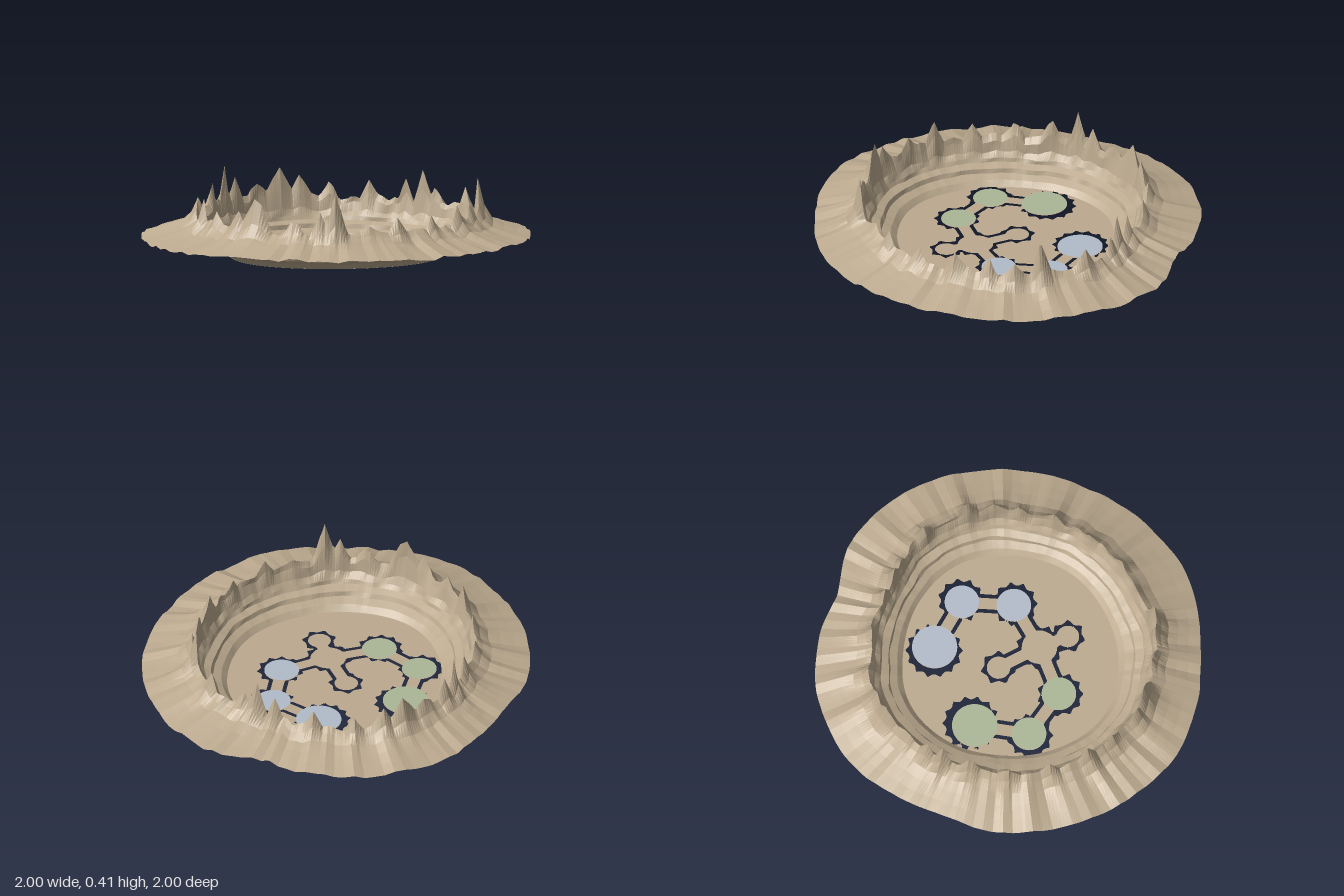
import * as THREE from 'three';

const rock = new THREE.MeshStandardMaterial({ color: 0xbcaa8f, flatShading: true, side: THREE.DoubleSide });
rock.name = 'tan rock';
const green = new THREE.MeshStandardMaterial({ color: 0xabb797, side: THREE.DoubleSide });
green.name = 'sage green';
const blue = new THREE.MeshStandardMaterial({ color: 0xb2bbc9, side: THREE.DoubleSide });
blue.name = 'slate blue';

const lerp = THREE.MathUtils.lerp;
const hash = (i, seed) => {
  const s = Math.sin(i * 127.1 + seed * 311.7) * 43758.5453;
  return s - Math.floor(s);
};
// Periodic noise around the ring, a in turns (0..1)
function noise(a, cells, seed) {
  const x = a * cells, i = Math.floor(x);
  return lerp(hash(i % cells, seed), hash((i + 1) % cells, seed), x - i);
}
// Smooth closed outline from evenly spaced radii
function ringRadius(table, a) {
  const n = table.length, x = a * n, i = Math.floor(x), f = x - i;
  const p = k => table[(i + k + n) % n];
  return p(0) + 0.5 * f * (p(1) - p(-1) + f * (2 * p(-1) - 5 * p(0) + 4 * p(1) - p(2)
    + f * (3 * (p(0) - p(1)) + p(2) - p(-1))));
}

// Angles run from +x towards +z
const OUTER = [1, .99, .98, .97, .975, .985, 1, .985, .985, 1.01, 1.025, 1.01,
  1, .985, .975, .95, .965, .995, 1, .99, .96, .92, .985, 1];
const CREST = [.73, .72, .715, .72, .755, .755, .715, .685, .71, .725, .685, .69];
const FLOOR = [.56, .55, .555, .55, .565, .58, .55, .53, .545, .555, .53, .54];

// Crest spikes: angle in degrees, height, half width in degrees
const SPIKES = [[9.6, .18, 4.5], [20, .06, 4], [30, .09, 4], [45, .1, 5], [62, .07, 4], [80, .06, 4],
  [106, .21, 4.5], [112, .1, 4], [122, .07, 4], [139, .15, 8], [146, .1, 5], [160, .09, 4], [172, .1, 4],
  [188, .08, 4], [205, .08, 5], [222, .1, 5], [233, .2, 4], [240, .1, 4], [252, .08, 5], [263, .14, 7],
  [271, .1, 5], [283, .07, 4], [300, .05, 4], [318, .09, 4], [327, .17, 5], [333, .1, 4], [350, .08, 4]];
function spikeHeight(a) {
  let h = 0;
  for (const [deg, height, width] of SPIKES) {
    const d = Math.abs(((a * 360 - deg + 540) % 360) - 180);
    h = Math.max(h, height * Math.max(0, 1 - d / width));
  }
  return h;
}

// Rows from rim to floor: place (0 floor edge, 1 crest, 2 outer edge), height, spike share, roughness
const ROWS = [[2, .098, 0, .7], [1.75, .115, 0, .8], [1.5, .133, .03, .9], [1.28, .15, .1, 1],
  [1.12, .17, .38, 1], [1, .185, 1, 1], [.93, .165, .6, .8], [.84, .125, .15, .6], [.72, .105, 0, .5],
  [.66, .085, 0, .4], [.44, .07, 0, .35], [.39, .047, 0, .3], [.16, .03, 0, .2], [0, .003, 0, 0]];

function craterWall() {
  const N = 360, pos = [], idx = [];
  ROWS.forEach(([k, y, share, rough], row) => {
    for (let j = 0; j < N; j++) {
      const a = j / N, t = a * Math.PI * 2;
      const floor = ringRadius(FLOOR, a), outer = ringRadius(OUTER, a);
      const crest = ringRadius(CREST, a) + .03 * (noise(a, 40, 3) - .5);
      let r = k <= 1 ? lerp(floor, crest, k) : lerp(crest, outer, k - 1);
      r += rough * .025 * (noise(a, 70, k < 1 ? row : 9) - .5) * (k === 2 ? .4 : 1);
      // Radial streaks share one noise so the ridges run down the slope
      const streak = noise(a, 120, 5) * .6 + noise(a, 45, 6) * .4 - .5;
      const jag = spikeHeight(a) + .05 * noise(a, 90, 7);
      const h = y + rough * .045 * streak * (k < .8 ? .4 : 1) + share * jag;
      pos.push(r * Math.cos(t), h, r * Math.sin(t));
      if (row) {
        const j2 = (j + 1) % N, o = (row - 1) * N, i = row * N;
        idx.push(o + j, i + j, o + j2, o + j2, i + j, i + j2);
      }
    }
  });
  const g = new THREE.BufferGeometry();
  g.setAttribute('position', new THREE.Float32BufferAttribute(pos, 3));
  g.setIndex(idx);
  g.computeVertexNormals();
  return g;
}

// Pads: x, z, radius, shift of the surrounding gap in x and z, colour
const PADS = [
  [-.26, -.31, .115, .02, -.01, green], [-.42, -.08, .088, -.01, 0, green], [-.29, .15, .088, -.005, .005, green],
  [.21, -.31, .115, -.015, -.01, blue], [.37, -.08, .088, .01, 0, blue], [.24, .15, .088, .005, .005, blue],
  [-.03, -.065, .06, 0, 0, null], [-.02, .17, .09, 0, 0, null], [-.03, .325, .058, 0, 0, null]];
// Walkways joining the pads
const LINKS = [[0, 1], [1, 2], [2, 7], [3, 4], [4, 5], [5, 7], [6, 7], [7, 8]];

function segmentDistance(x, z, [ax, az], [bx, bz]) {
  const dx = bx - ax, dz = bz - az;
  const t = THREE.MathUtils.clamp(((x - ax) * dx + (z - az) * dz) / (dx * dx + dz * dz), 0, 1);
  return Math.hypot(x - ax - t * dx, z - az - t * dz);
}
// Negative where the floor is solid, positive inside the notched gap
function gapField(x, z) {
  let inner = 9, outer = 9;
  for (const [px, pz, r, sx, sz] of PADS) {
    inner = Math.min(inner, Math.hypot(x - px, z - pz) - r);
    const ox = x - px - sx, oz = z - pz - sz;
    const teeth = Math.round(r * 120);
    const notch = .02 * Math.abs(Math.cos(teeth * Math.atan2(oz, ox) / 2));
    outer = Math.min(outer, Math.hypot(ox, oz) - r - .033 + notch);
  }
  for (const [i, j] of LINKS) {
    const d = segmentDistance(x, z, PADS[i], PADS[j]);
    inner = Math.min(inner, d - .03);
    outer = Math.min(outer, d - .05);
  }
  return Math.min(inner, -outer);
}

// Flat floor cut by the gap and the crater outline
function craterFloor() {
  const step = .01, half = 65, y = .003, pos = [];
  const field = (x, z) => {
    const a = (Math.atan2(z, x) / (Math.PI * 2) + 1) % 1;
    return Math.max(gapField(x, z), Math.hypot(x, z) - ringRadius(FLOOR, a) - .002);
  };
  const corner = (i, j) => ({ x: i * step, z: j * step, f: field(i * step, j * step) });
  const addClipped = tri => {
    const poly = [];
    tri.forEach((p, k) => {
      const q = tri[(k + 1) % 3];
      if (p.f <= 0) poly.push(p);
      if (p.f <= 0 !== q.f <= 0) {
        const t = p.f / (p.f - q.f);
        poly.push({ x: lerp(p.x, q.x, t), z: lerp(p.z, q.z, t) });
      }
    });
    for (let k = 2; k < poly.length; k++)
      for (const p of [poly[0], poly[k - 1], poly[k]]) pos.push(p.x, y, p.z);
  };
  for (let i = -half; i < half; i++)
    for (let j = -half; j < half; j++) {
      const a = corner(i, j), b = corner(i, j + 1), c = corner(i + 1, j + 1), d = corner(i + 1, j);
      addClipped([a, b, c]);
      addClipped([a, c, d]);
    }
  const g = new THREE.BufferGeometry();
  g.setAttribute('position', new THREE.Float32BufferAttribute(pos, 3));
  g.computeVertexNormals();
  return g;
}

export function createModel() {
  const model = new THREE.Group();
  model.name = 'crater';
  const add = (name, geometry, material) => {
    const mesh = new THREE.Mesh(geometry, material);
    mesh.name = name;
    model.add(mesh);
    return mesh;
  };
  add('craterWall', craterWall(), rock);
  add('craterFloor', craterFloor(), rock);

  // Coloured pads laid on the floor
  PADS.forEach(([x, z, r, , , material], i) => {
    if (!material) return;
    const disc = new THREE.CircleGeometry(r, 40).rotateX(-Math.PI / 2);
    add((material === green ? 'greenPad' : 'bluePad') + (i % 3 + 1), disc, material).position.set(x, .008, z);
  });
  return model;
}
